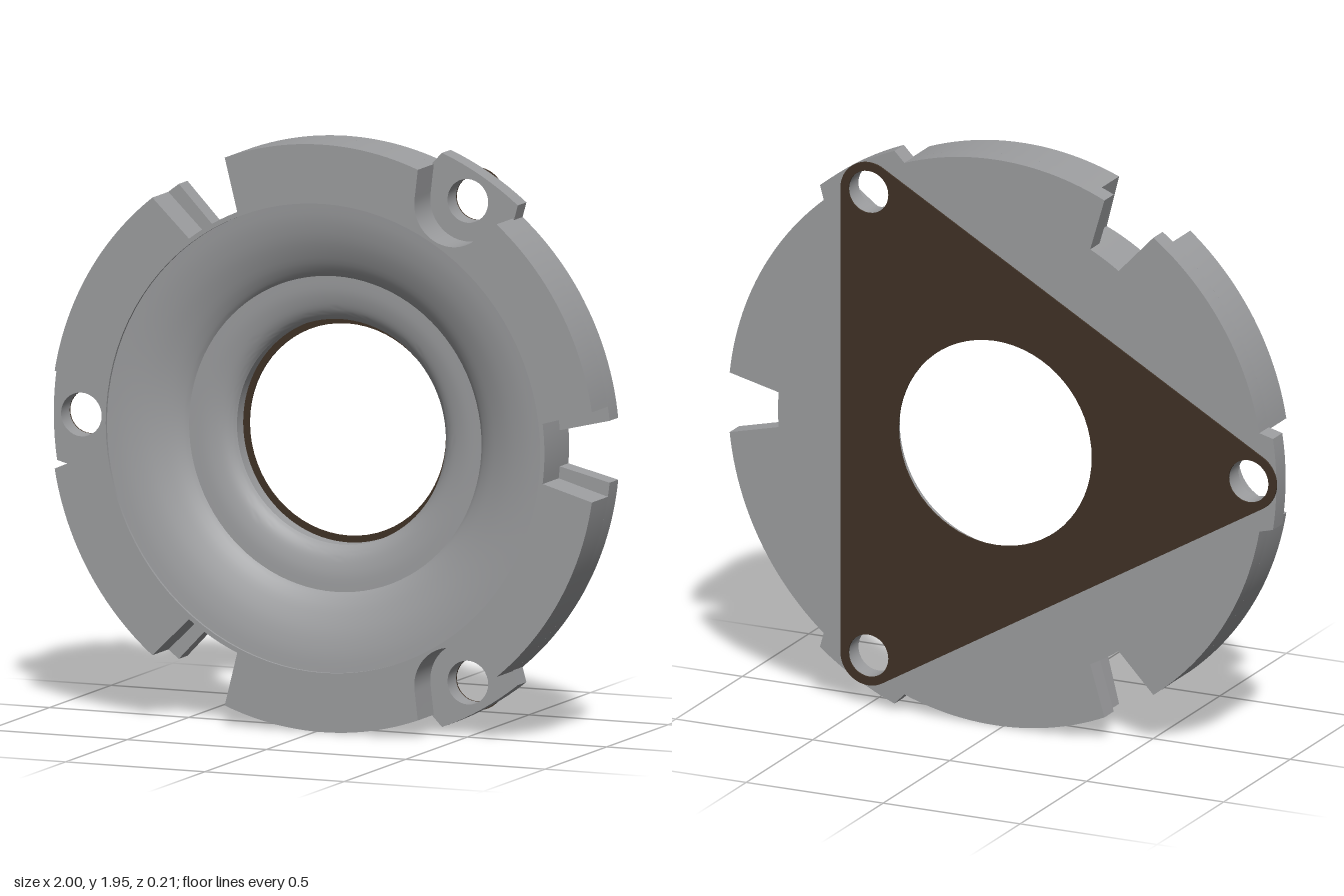
import * as THREE from 'three';
import { toCreasedNormals } from 'three/addons/utils/BufferGeometryUtils.js';

const SECTOR = Math.PI / 3;
const R_OUT = 0.977, R_WALL = 0.795, R_IN = 0.78, R_LUG = 0.925;

const polar = (r, a) => new THREE.Vector2(r * Math.cos(a), r * Math.sin(a));

function circlePath(x, y, r, n) {
  const pts = [];
  for (let i = 0; i < n; i++) pts.push(polar(r, -i / n * Math.PI * 2).add(new THREE.Vector2(x, y)));
  return new THREE.Path(pts);
}

function extrude(shape, z0, z1) {
  const geo = new THREE.ExtrudeGeometry(shape, { depth: z1 - z0, bevelEnabled: false, curveSegments: 24 });
  geo.translate(0, 0, z0);
  return toCreasedNormals(geo, 0.3);
}

// Ring outline with three tapered slots; lugPoints (u radial, v sideways) shape the lug end of each sector
function ringShape(slotIn, slotOut, lugHalf, lugPoints) {
  const half = [];
  const slotA = Math.asin(slotIn / R_WALL);
  for (let i = 0; i <= 3; i++) half.push([R_WALL, slotA * i / 3]);
  const a0 = Math.asin(slotOut / R_OUT);
  const a1 = SECTOR - Math.asin(lugHalf / R_OUT);
  for (let i = 0; i <= 24; i++) half.push([R_OUT, a0 + (a1 - a0) * i / 24]);
  for (const [u, v] of lugPoints) half.push([Math.hypot(u, v), SECTOR - Math.atan2(v, u)]);

  // Mirror each half sector, then repeat three times
  const mirrored = half.slice(1, -1).reverse().map(([r, a]) => [r, 2 * SECTOR - a]);
  const pts = [];
  for (let k = 0; k < 3; k++)
    for (const [r, a] of [...half, ...mirrored]) pts.push(polar(r, a + k * 2 * SECTOR));
  const shape = new THREE.Shape(pts);
  shape.holes.push(circlePath(0, 0, R_IN, 96));
  return shape;
}

const lugCentres = [0, 1, 2].map(k => polar(R_LUG, SECTOR * (2 * k + 1)));

export function createModel() {
  const group = new THREE.Group();
  group.position.set(0.026, 0.977, 0);
  const model = new THREE.Group();
  model.add(group);

  const grey = new THREE.MeshStandardMaterial({ color: 0x9d9ea0 });
  const brown = new THREE.MeshStandardMaterial({ color: 0x403226 });
  const add = (name, geo, mat) => {
    const mesh = new THREE.Mesh(geo, mat);
    mesh.name = name;
    group.add(mesh);
  };

  // Front layer: wide slots and rounded pockets around the screw holes
  const pocket = [];
  for (let i = 0; i <= 10; i++) {
    const a = THREE.MathUtils.degToRad(110 + 7 * i);
    pocket.push([R_LUG + 0.135 * Math.cos(a), 0.135 * Math.sin(a)]);
  }
  add('frontRing', extrude(ringShape(0.1, 0.15, 0.163, pocket), -0.03, 0.1), grey);

  // Back layer: narrower slots and protruding lugs with screw holes
  const lug = [];
  for (let i = 4; i >= 0; i--) {
    const a = 0.154 * i / 4;
    lug.push([1.024 * Math.cos(a), 1.024 * Math.sin(a)]);
  }
  const backShape = ringShape(0.06, 0.103, 0.17, lug);
  for (const c of lugCentres) backShape.holes.push(circlePath(c.x, c.y, 0.073, 32));
  add('backRing', extrude(backShape, -0.1, -0.03), grey);

  // Two-stage flared dish with a short straight bore, flush with the ring at the back
  const curve = pts => new THREE.SplineCurve(pts.map(p => new THREE.Vector2(...p))).getPoints(16);
  const flare = curve([[R_IN, 0.09], [0.72, 0.084], [0.65, 0.068], [0.58, 0.04], [0.54, 0.015], [0.525, 0]]);
  const throat = curve([[0.525, 0], [0.47, -0.003], [0.42, -0.015], [0.39, -0.032], [0.375, -0.05]]);
  const back = new THREE.Vector2(R_IN, -0.1);
  const bore = new THREE.Vector2(0.375, -0.1);
  const dish = new THREE.LatheGeometry([back, ...flare, ...throat.slice(1), bore, back.clone()], 96);
  dish.rotateX(Math.PI / 2);
  add('flaredDish', toCreasedNormals(dish, 0.3), grey);

  // Thin triangular back plate with rounded corners
  const plate = new THREE.Shape();
  lugCentres.forEach((c, k) => {
    const a = SECTOR * (2 * k + 1);
    plate.absarc(c.x, c.y, 0.102, a - SECTOR, a + SECTOR, false);
  });
  plate.closePath();
  plate.holes.push(circlePath(0, 0, 0.353, 64));
  for (const c of lugCentres) plate.holes.push(circlePath(c.x, c.y, 0.073, 32));
  add('backPlate', extrude(plate, -0.106, -0.1), brown);

  return model;
}
